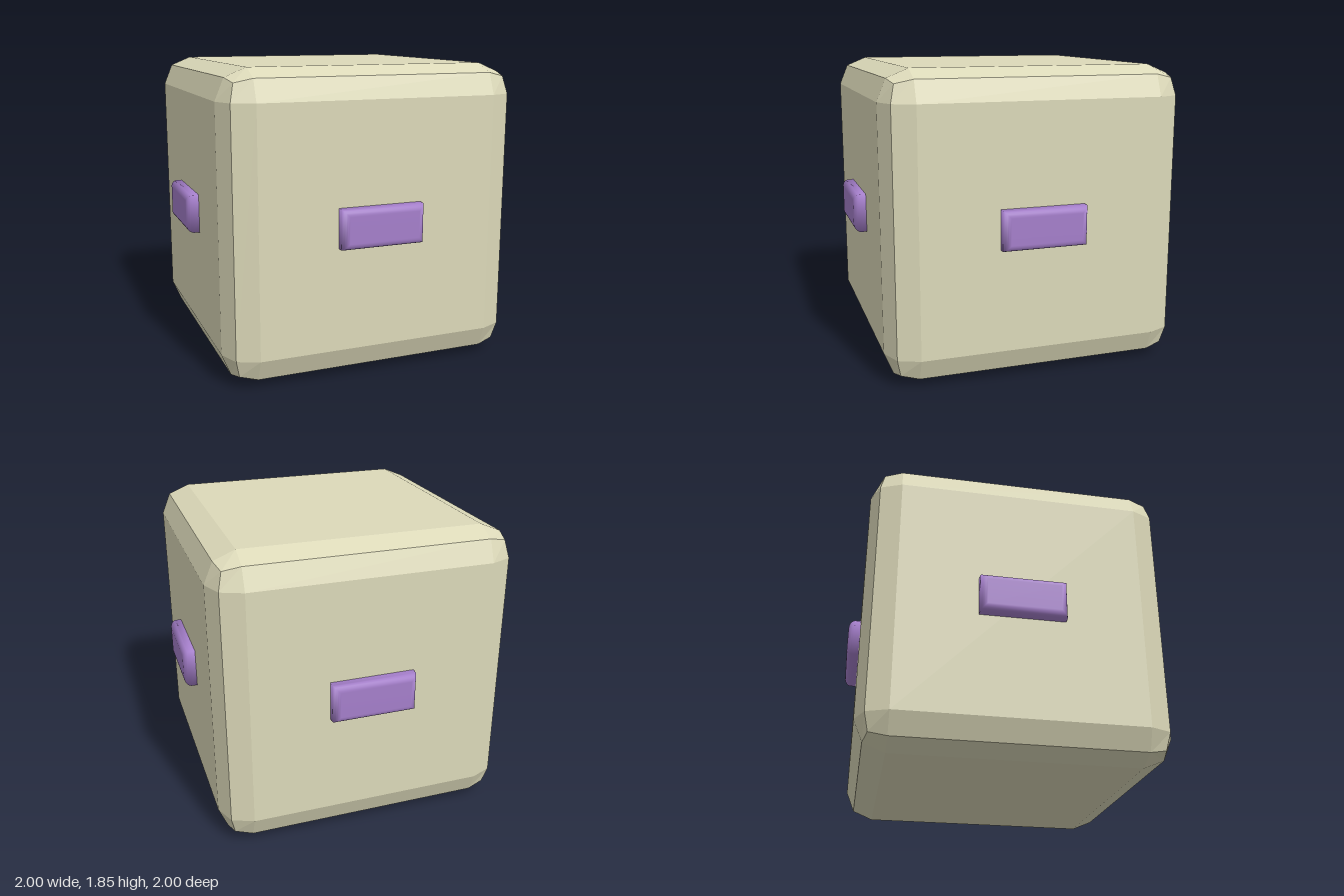
import * as THREE from 'three';
import { mergeVertices } from 'three/addons/utils/BufferGeometryUtils.js';
import { RoundedBoxGeometry } from 'three/addons/geometries/RoundedBoxGeometry.js';

const SIZE = 1.85;       // edge length of the cube
const BEVEL = 0.185;     // two-facet edge bevel
const BAR = { w: 0.52, h: 0.24, y: 0.93, round: 0.04, back: 0.86, front: 1 };

// Bar with square corners, rounded front edges and soft shading throughout
function barGeometry() {
  const { w, h, round, back, front } = BAR;
  const x = w / 2 - round, y = h / 2 - round;
  const outline = new THREE.Shape([
    new THREE.Vector2(-x, -y), new THREE.Vector2(x, -y),
    new THREE.Vector2(x, y), new THREE.Vector2(-x, y),
  ]);
  const extruded = new THREE.ExtrudeGeometry(outline, {
    depth: front - back - 2 * round,
    bevelSize: round, bevelThickness: round, bevelSegments: 5,
  });
  extruded.translate(0, 0, back + round);
  extruded.deleteAttribute('normal');
  extruded.deleteAttribute('uv');
  const smooth = mergeVertices(extruded, 1e-4);
  smooth.computeVertexNormals();
  return smooth;
}

export function createModel() {
  const model = new THREE.Group();
  model.name = 'bevelledCube';

  // Faceted cube
  const body = new THREE.Mesh(
    new RoundedBoxGeometry(SIZE, SIZE, SIZE, 1, BEVEL),
    new THREE.MeshStandardMaterial({ color: 0xdcd9b9, flatShading: true }),
  );
  body.name = 'body';
  body.position.y = SIZE / 2;
  model.add(body);

  // One bar on each upright face
  const geometry = barGeometry();
  const material = new THREE.MeshStandardMaterial({ color: 0xa57fcb });
  ['front', 'left', 'back', 'right'].forEach((side, i) => {
    const bar = new THREE.Mesh(geometry, material);
    bar.name = side + 'Bar';
    bar.position.y = BAR.y;
    bar.rotation.y = i * Math.PI / 2;
    model.add(bar);
  });

  return model;
}
